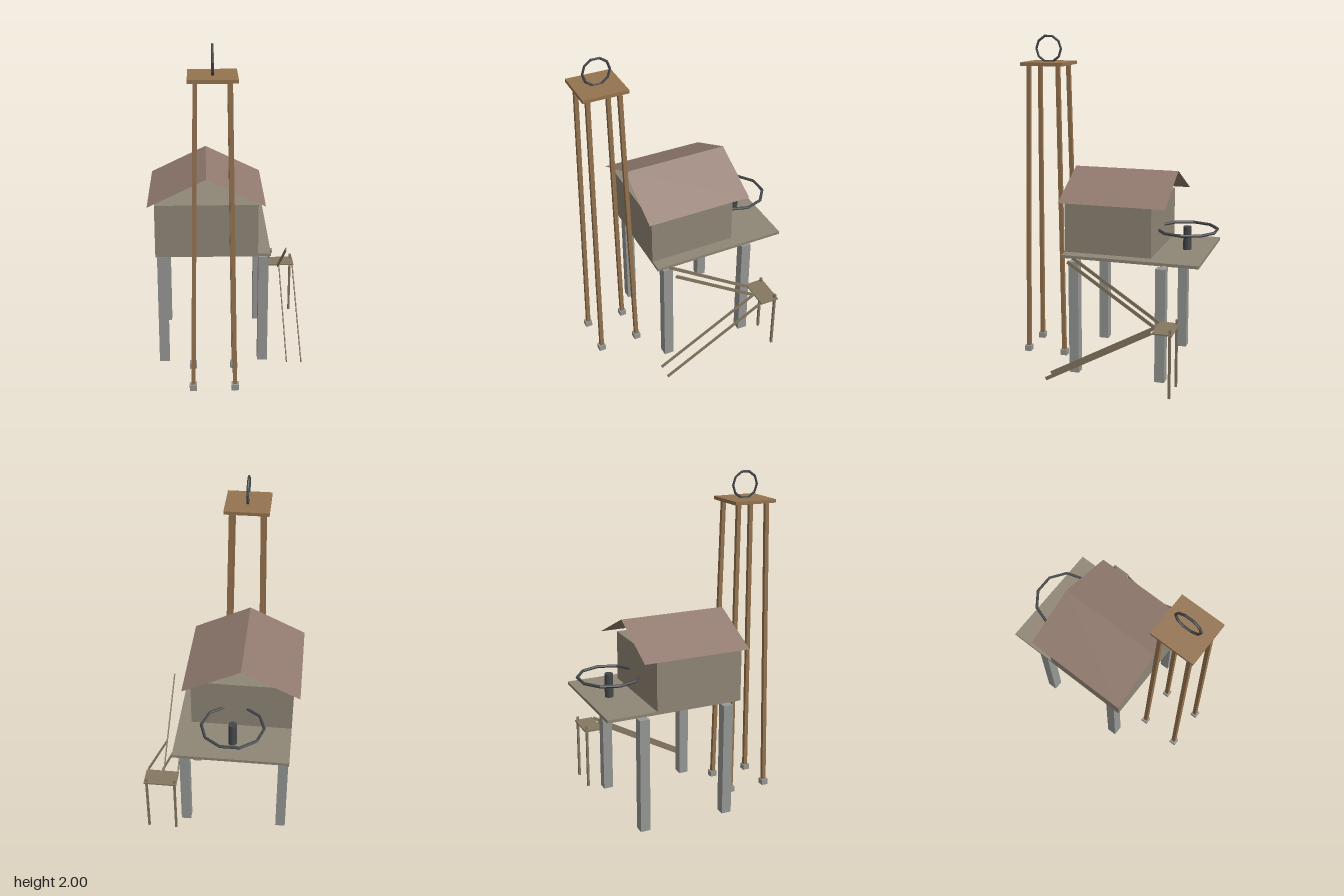
import * as THREE from 'three';

const mat = (color, side = THREE.FrontSide) =>
  new THREE.MeshStandardMaterial({ color, flatShading: true, side });

export function createModel() {
  const model = new THREE.Group();
  const wall = mat(0x8f8676), roofing = mat(0x917a6e, THREE.DoubleSide);
  const timber = mat(0x94734f), rail = mat(0x857862), stone = mat(0x969894), iron = mat(0x45484a);

  const add = (parent, name, geometry, material, x, y, z) => {
    const mesh = new THREE.Mesh(geometry, material);
    mesh.name = name;
    mesh.position.set(x, y, z);
    parent.add(mesh);
    return mesh;
  };
  // Box given by its limits on each axis
  const block = (parent, name, material, [x0, x1], [y0, y1], [z0, z1]) =>
    add(parent, name, new THREE.BoxGeometry(x1 - x0, y1 - y0, z1 - z0), material,
      (x0 + x1) / 2, (y0 + y1) / 2, (z0 + z1) / 2);
  // Rectangular bar running from a to b
  const bar = (parent, name, material, a, b, w, d) => {
    const p = new THREE.Vector3(...a), q = new THREE.Vector3(...b);
    const dir = q.clone().sub(p), mid = p.clone().add(q).multiplyScalar(0.5);
    const mesh = add(parent, name, new THREE.BoxGeometry(w, dir.length(), d), material, mid.x, mid.y, mid.z);
    mesh.quaternion.setFromUnitVectors(new THREE.Vector3(0, 1, 0), dir.normalize());
  };
  const group = (name) => {
    const g = new THREE.Group();
    g.name = name;
    model.add(g);
    return g;
  };

  // House on a raised deck
  const house = group('house');
  block(house, 'deck', wall, [-0.42, 0.255], [0.718, 0.736], [-0.555, 0.272]);
  block(house, 'walls', wall, [-0.42, 0.18], [0.72, 1.04], [-0.257, 0.273]);
  for (const x of [-0.383, 0.216])
    for (const z of [0.2, -0.33])
      add(house, 'pile', new THREE.BoxGeometry(0.06, 0.695, 0.06), stone, x, 0.3475, z);

  // Thin gable roof, open at both ends
  const run = 0.34, rise = 0.165;
  for (const s of [-1, 1]) {
    const slope = new THREE.PlaneGeometry(Math.hypot(run, rise), 0.648).rotateX(-Math.PI / 2);
    add(house, 'roofSlope', slope, roofing, -0.12 + s * run / 2, 1.04 + rise / 2, -0.022)
      .rotation.z = -s * Math.atan2(rise, run);
  }

  // Horizontal wheel and hub on the rear deck
  const winch = group('winch');
  add(winch, 'hub', new THREE.CylinderGeometry(0.025, 0.025, 0.143, 16), iron, -0.083, 0.807, -0.415);
  add(winch, 'wheel', new THREE.TorusGeometry(0.182, 0.009, 6, 10).rotateX(Math.PI / 2), iron,
    -0.083, 0.862, -0.415);

  // Tall tower with leaning legs
  const tower = group('tower');
  const tx = -0.084, tz = 0.458;
  add(tower, 'towerPlatform', new THREE.BoxGeometry(0.266, 0.02, 0.266), timber, tx, 1.832, tz);
  add(tower, 'towerRing', new THREE.TorusGeometry(0.079, 0.0075, 6, 10).rotateY(Math.PI / 2), iron,
    tx, 1.918, tz);
  for (const sx of [-1, 1])
    for (const sz of [-1, 1]) {
      bar(tower, 'towerLeg', timber, [tx + sx * 0.12, 0.04, tz + sz * 0.12],
        [tx + sx * 0.092, 1.825, tz + sz * 0.092], 0.024, 0.024);
      add(tower, 'towerFoot', new THREE.BoxGeometry(0.042, 0.035, 0.042), stone,
        tx + sx * 0.121, 0.038, tz + sz * 0.121);
    }

  // Stair landing with two flights of bare stringers
  const stair = group('stair');
  block(stair, 'landing', rail, [0.256, 0.457], [0.377, 0.386], [-0.452, -0.335]);
  for (const x of [0.27, 0.442])
    add(stair, 'landingPost', new THREE.BoxGeometry(0.014, 0.412, 0.014), rail, x, 0.206, -0.437);
  for (const x of [0.264, 0.351])
    bar(stair, 'upperStringer', rail, [x, 0.378, -0.33], [x, 0.727, 0.198], 0.006, 0.02);
  for (const x of [0.36, 0.448])
    bar(stair, 'lowerStringer', rail, [x, 0.382, -0.33], [x, 0.03, 0.305], 0.006, 0.02);

  return model;
}
